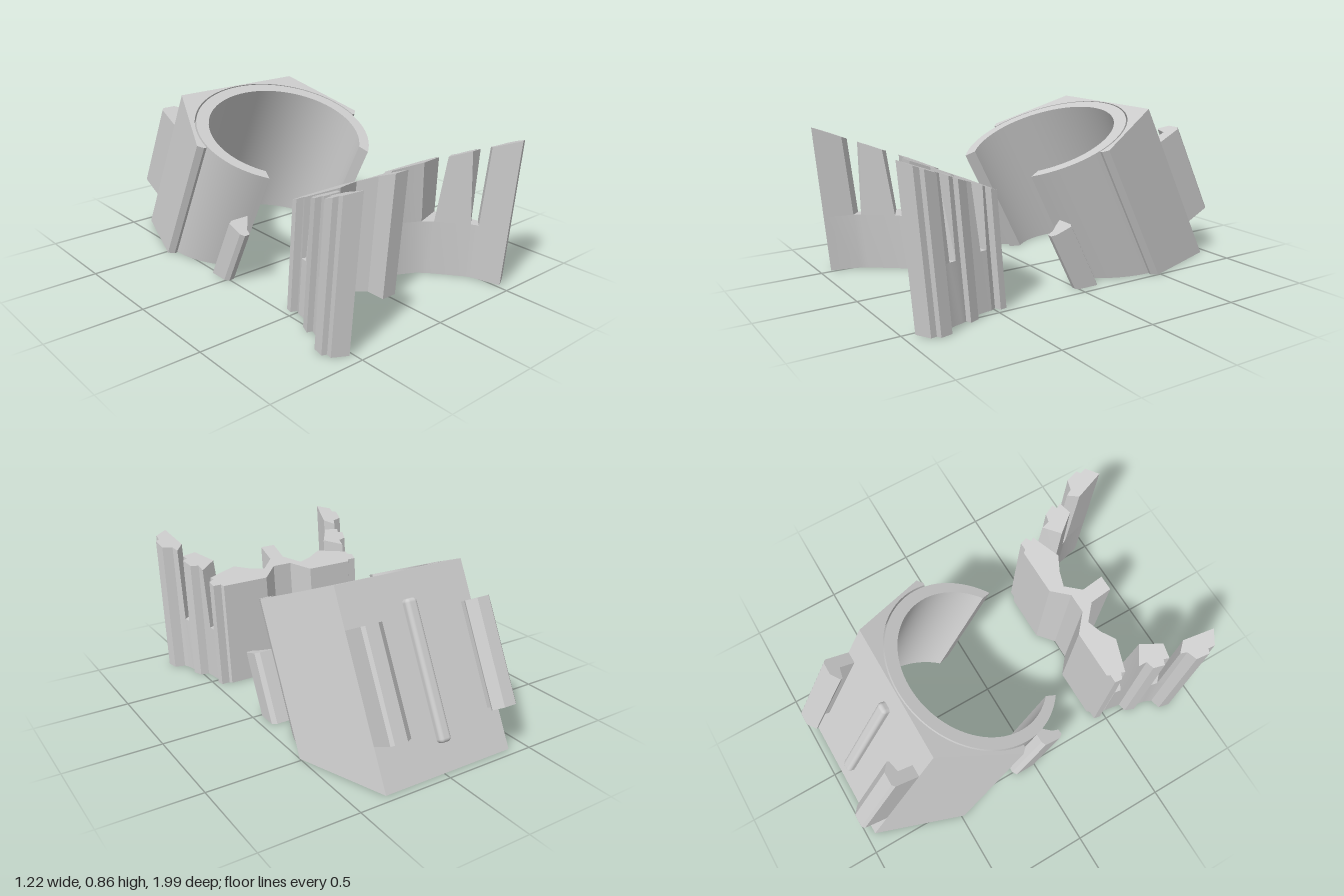
import * as THREE from 'three';
import { toCreasedNormals } from 'three/addons/utils/BufferGeometryUtils.js';
import { RoundedBoxGeometry } from 'three/addons/geometries/RoundedBoxGeometry.js';

const material = new THREE.MeshStandardMaterial({ color: 0xcccccc });
const CX = -0.035; // centre line of the clamp
const LEAN = 0.5; // how far the clamp leans forward per unit of height

function addMesh(parent, name, geometry) {
  const mesh = new THREE.Mesh(geometry, material);
  mesh.name = name;
  parent.add(mesh);
  return mesh;
}

// Leaning prism over a plan of [x, z] points, from height y0 up to a sloping top.
// topPlan may differ from plan, for tapering walls.
function prism(plan, y0, topHeight, lean, topPlan = plan) {
  if (THREE.ShapeUtils.isClockWise(plan.map(([x, y]) => ({ x, y })))) {
    plan = [...plan].reverse();
    topPlan = [...topPlan].reverse();
  }
  const lower = plan.map(([x, z]) => [x, y0, z + lean * y0]);
  const upper = topPlan.map(([x, z]) => {
    const y = topHeight(z);
    return [x, y, z + lean * y];
  });
  const cap = (pts) => THREE.ShapeUtils.triangulateShape(pts.map((p) => new THREE.Vector2(p[0], p[1])), []);
  const pos = [];
  for (const [a, b, c] of cap(plan)) pos.push(...lower[a], ...lower[b], ...lower[c]);
  for (const [a, b, c] of cap(topPlan)) pos.push(...upper[a], ...upper[c], ...upper[b]);
  plan.forEach((_, i) => {
    const j = (i + 1) % plan.length;
    pos.push(...lower[i], ...upper[i], ...upper[j], ...lower[i], ...upper[j], ...lower[j]);
  });
  const geometry = new THREE.BufferGeometry();
  geometry.setAttribute('position', new THREE.Float32BufferAttribute(pos, 3));
  return toCreasedNormals(geometry, 0.35);
}

// Arc in plan, measured from the back, running from angle a to b
function arc(r, cz, a, b, n = 64) {
  return Array.from({ length: n + 1 }, (_, i) => {
    const t = THREE.MathUtils.degToRad(a + ((b - a) * i) / n);
    return [CX + r * Math.sin(t), cz - r * Math.cos(t)];
  });
}

const mirrorX = (pts, cx = 0) => pts.map(([x, z]) => [2 * cx - x, z]);

function createClamp() {
  const clamp = new THREE.Group();
  clamp.name = 'clamp';
  const top = (z) => (0.65 - 0.4 * z) / 1.2;

  // Open ring
  const ring = [...arc(0.487, -0.455, -137, 137), ...arc(0.425, -0.445, 132, -132)];
  addMesh(clamp, 'clampRing', prism(ring, 0, top, LEAN));

  // Angular backing block, with a fine groove around the ring
  const side = [[0.335, -0.957], [0.5, -0.485], [0.475, -0.455]];
  const block = [...side, ...arc(0.495, -0.455, 90, -90), ...mirrorX(side, CX).reverse()];
  addMesh(clamp, 'backingBlock', prism(block, 0, top, LEAN));

  // Small hooks beside the ring opening
  const tab = [[0.33, -0.13], [0.425, -0.13], [0.45, -0.115], [0.45, -0.01], [0.435, 0.015],
    [0.405, 0.012], [0.395, -0.03], [0.36, -0.08]];
  const tabTop = (z) => (0.353 - 0.33 * z) / 1.165;
  addMesh(clamp, 'leftTab', prism(tab, 0, tabTop, LEAN));
  addMesh(clamp, 'rightTab', prism(mirrorX(tab, CX), 0, tabTop, LEAN));

  // Fittings on the leaning back face: local y runs up the face, -z points out
  const back = new THREE.Group();
  back.name = 'backFittings';
  back.position.z = -0.957;
  back.rotation.x = Math.atan(LEAN);
  clamp.add(back);

  const hook = [[0.335, 0.02], [0.335, -0.135], [0.32, -0.15], [0.25, -0.15],
    [0.205, -0.112], [0.21, -0.1], [0.27, -0.085], [0.27, 0.02]];
  addMesh(back, 'leftHook', prism(hook, 0.224, () => 0.755, 0));
  addMesh(back, 'rightHook', prism(mirrorX(hook, CX), 0.224, () => 0.755, 0));

  const rib = addMesh(back, 'centreRib', new RoundedBoxGeometry(0.065, 0.69, 0.076, 4, 0.02));
  rib.position.set(CX, 0.485, 0);
  return clamp;
}

function createInsert() {
  const insert = new THREE.Group();
  insert.name = 'insert';
  const lean = 0.08;
  const slotFloor = 0.3;
  const top = (z) => (0.386 + 0.394 * z) / 0.968;

  // Half plan: notched back, then three outer ribs towards the tip
  const backEdge = [[0.055, 0.5], [0.145, 0.425], [0.41, 0.425], [0.42, 0.44],
    [0.465, 0.44], [0.472, 0.475], [0.44, 0.488]];
  const middleRib = [[0.47, 0.61], [0.515, 0.62], [0.535, 0.67], [0.507, 0.68]];
  const tipRib = [[0.545, 0.785], [0.6, 0.8], [0.612, 0.86], [0.588, 0.87], [0.593, 0.9], [0.52, 0.94]];
  const post = [[0.2, 0.517], [0.12, 0.494], [0.042, 0.56], [0.042, 0.666]];

  // Slot walls as [outer A, outer B, inner B, inner A], at the floor and at the top
  const slot1 = [[[0.455, 0.515], [0.46, 0.55], [0.345, 0.61], [0.3, 0.566]],
    [[0.45, 0.505], [0.465, 0.57], [0.37, 0.63], [0.28, 0.556]]];
  const slot2 = [[[0.52, 0.71], [0.527, 0.745], [0.48, 0.79], [0.46, 0.755]],
    [[0.518, 0.705], [0.53, 0.755], [0.482, 0.8], [0.44, 0.72]]];

  // Continuous lower wall
  const [s, t] = [slot1[0], slot2[0]];
  const half = [...backEdge, s[0], s[1], ...middleRib, t[0], t[1], ...tipRib,
    t[2], t[3], s[2], s[3], ...post];
  const whole = (pts) => [...pts, ...mirrorX(pts).reverse()];
  addMesh(insert, 'lowerWall', prism(whole(half), 0, () => slotFloor, lean));

  // Upper walls between the tapering slots
  const centre = (k) => whole([...backEdge, slot1[k][0], slot1[k][3], ...post]);
  const middle = (k) => [slot1[k][1], ...middleRib, slot2[k][0], slot2[k][3], slot1[k][2]];
  const tip = (k) => [slot2[k][1], ...tipRib, slot2[k][2]];
  const upper = (name, a, b) => addMesh(insert, name, prism(a, slotFloor, top, lean, b));
  upper('centreWall', centre(0), centre(1));
  for (const [name, plan] of [['MiddleFinger', middle], ['TipFinger', tip]]) {
    upper('left' + name, plan(0), plan(1));
    upper('right' + name, mirrorX(plan(0)), mirrorX(plan(1)));
  }
  return insert;
}

export function createModel() {
  const model = new THREE.Group();
  model.name = 'clampWithInsert';
  model.add(createClamp(), createInsert());
  return model;
}
